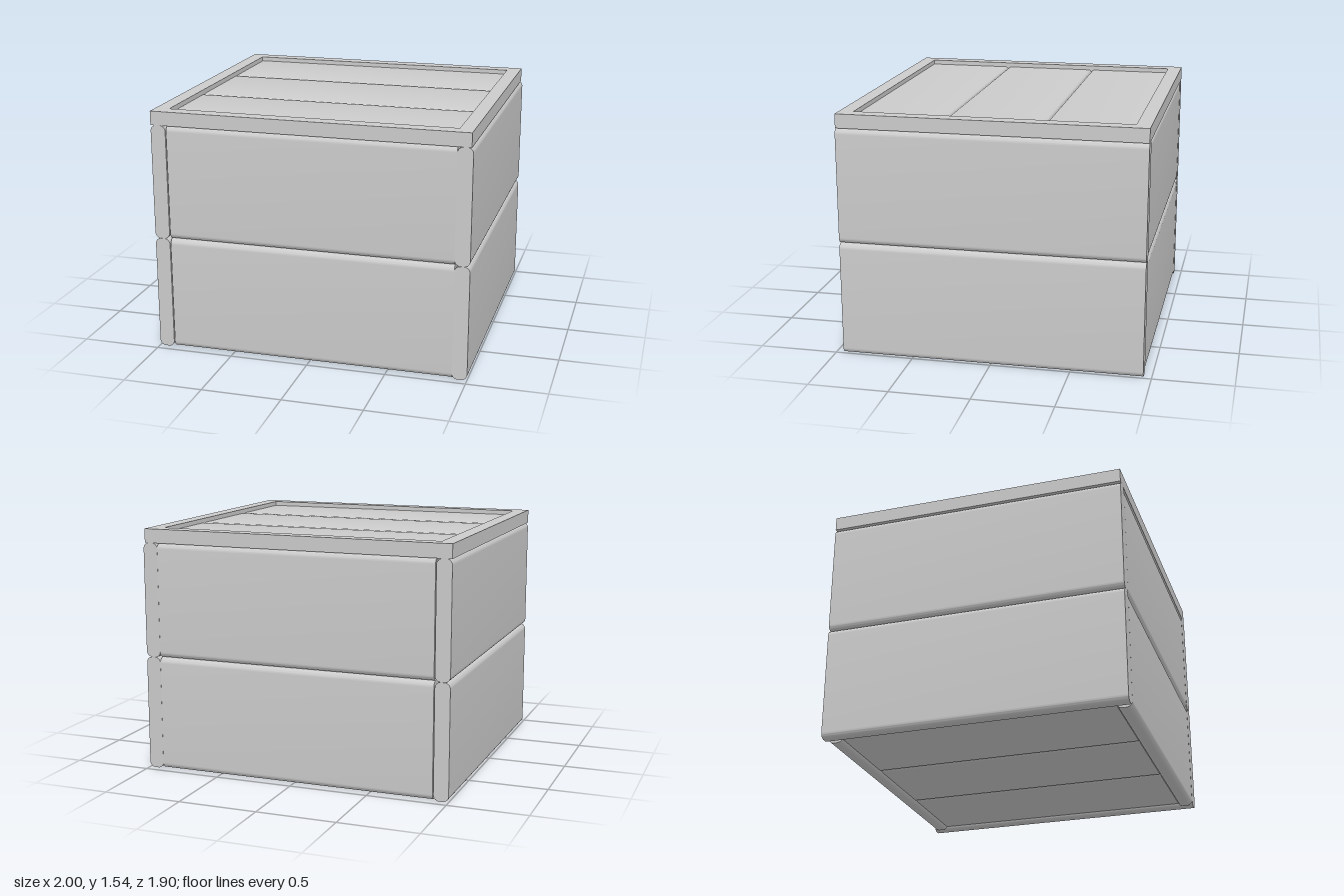
import * as THREE from 'three';
import { toCreasedNormals } from 'three/addons/utils/BufferGeometryUtils.js';

const grey = new THREE.MeshStandardMaterial({ color: 0xcccccc });

// Plank with rounded long edges: profile w x h, extruded along z and centred.
function plankGeometry(w, h, length, r = 0.036) {
  const x = w / 2 - r, y = h / 2 - r;
  const s = new THREE.Shape();
  s.absarc(x, y, r, 0, Math.PI / 2);
  s.absarc(-x, y, r, Math.PI / 2, Math.PI);
  s.absarc(-x, -y, r, Math.PI, Math.PI * 1.5);
  s.absarc(x, -y, r, Math.PI * 1.5, Math.PI * 2);
  const g = new THREE.ExtrudeGeometry(s, { depth: length, bevelEnabled: false, curveSegments: 6 });
  g.translate(0, 0, -length / 2);
  return toCreasedNormals(g, 0.6);
}

export function createModel() {
  const crate = new THREE.Group();
  crate.name = 'crate';

  function add(name, geometry, x, y, z, turned = false) {
    const mesh = new THREE.Mesh(geometry, grey);
    mesh.name = name;
    mesh.position.set(x, y, z);
    if (turned) mesh.rotation.y = Math.PI / 2;
    crate.add(mesh);
  }

  const sidePlank = plankGeometry(0.095, 0.727, 1.9);
  const endPlank = plankGeometry(0.095, 0.727, 1.805);
  const lidPlank = plankGeometry(0.609, 0.095, 1.805, 0.02);
  const floorPlank = plankGeometry(0.609, 0.095, 1.71, 0.02);
  const sideRim = new THREE.BoxGeometry(0.09, 0.088, 1.9);
  const endRim = new THREE.BoxGeometry(1.81, 0.088, 0.09);

  for (const s of [1, -1]) {
    // Walls: two stacked planks on each of the four sides
    for (const y of [0.3635, 1.0915]) {
      add(s > 0 ? 'leftPlank' : 'rightPlank', sidePlank, s * 0.9525, y, 0);
      add(s > 0 ? 'frontPlank' : 'backPlank', endPlank, 0.003, y, s * 0.9015, true);
    }
    // Square rim around the lid
    add(s > 0 ? 'leftRim' : 'rightRim', sideRim, s * 0.95 - 0.005, 1.499, 0);
    add(s > 0 ? 'frontRim' : 'backRim', endRim, -0.005, 1.499, s * 0.905);
  }

  // Lid planks run across, floor planks run front to back
  for (const i of [-1, 0, 1]) {
    add('lidPlank', lidPlank, -0.004, 1.467, i * 0.612 - 0.005, true);
    add('floorPlank', floorPlank, i * 0.612, 0.0675, 0);
  }
  return crate;
}
